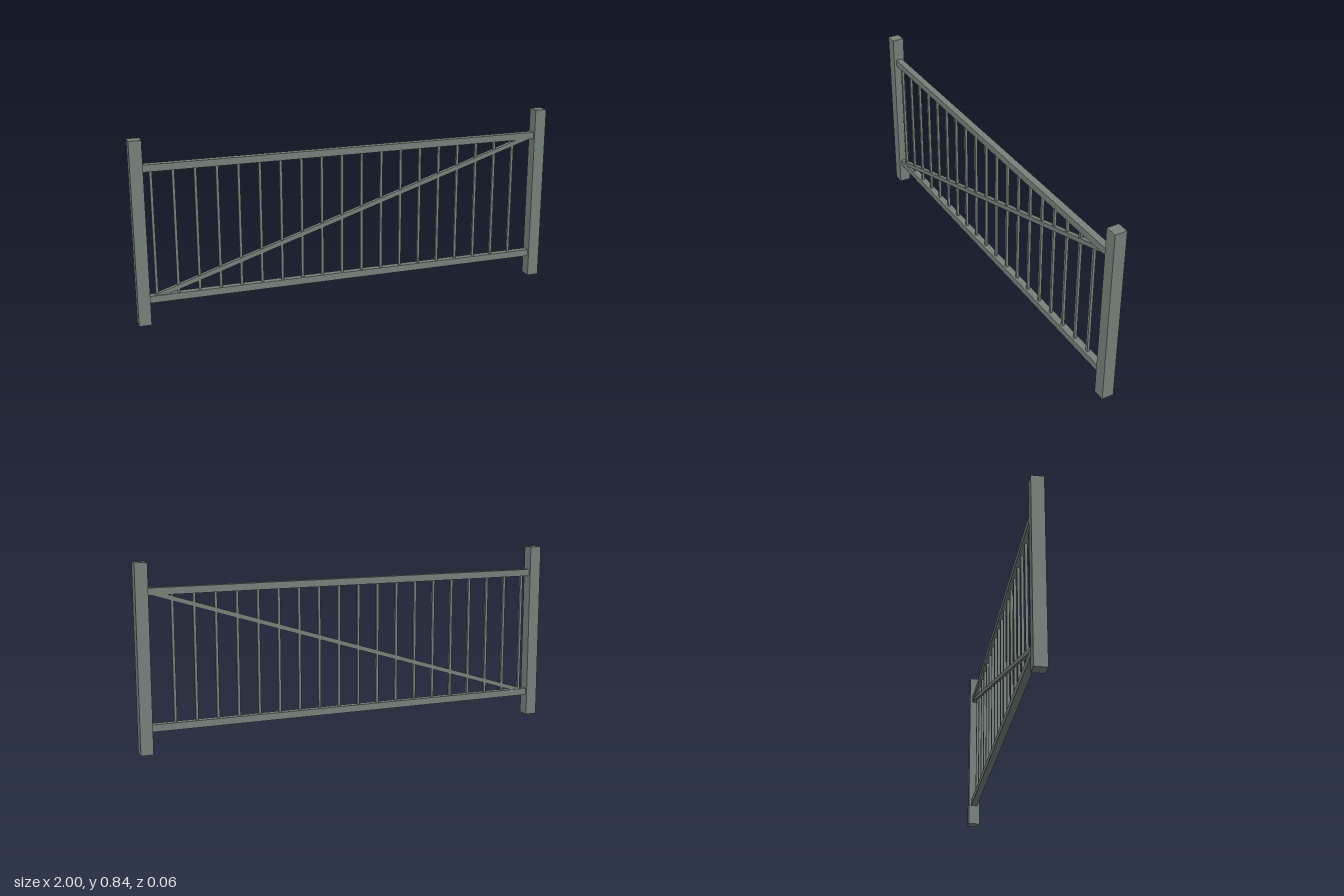
import * as THREE from 'three';

export function createModel() {
  const group = new THREE.Group();
  const paint = new THREE.MeshStandardMaterial({ color: 0x77827c });
  paint.name = 'grey green paint';

  const addBox = (name, w, h, d, x, y) => {
    const mesh = new THREE.Mesh(new THREE.BoxGeometry(w, h, d), paint);
    mesh.name = name;
    mesh.position.set(x, y, 0);
    group.add(mesh);
    return mesh;
  };

  const post = 0.056, height = 0.842, rail = 0.032;
  const lowY = 0.115, highY = 0.715;
  const inner = 1 - post;

  // End posts
  addBox('leftPost', post, height, post, 1 - post / 2, height / 2);
  addBox('rightPost', post, height, post, -1 + post / 2, height / 2);

  // Horizontal rails between the posts
  addBox('bottomRail', inner * 2, rail, rail, 0, lowY);
  addBox('topRail', inner * 2, rail, rail, 0, highY);

  // Evenly spaced upright bars, with the wider gap at the left post
  for (let i = 0; i < 19; i++) {
    addBox('bar' + (i + 1), 0.012, highY - lowY, 0.012, -0.909 + i * 0.097, (lowY + highY) / 2);
  }

  // Diagonal brace from the lower right corner to the upper left one
  const rise = highY - lowY;
  const brace = addBox('diagonalBrace', Math.hypot(inner * 2, rise), 0.021, 0.021, 0, (lowY + highY) / 2);
  brace.rotation.z = Math.atan2(rise, inner * 2);

  return group;
}
